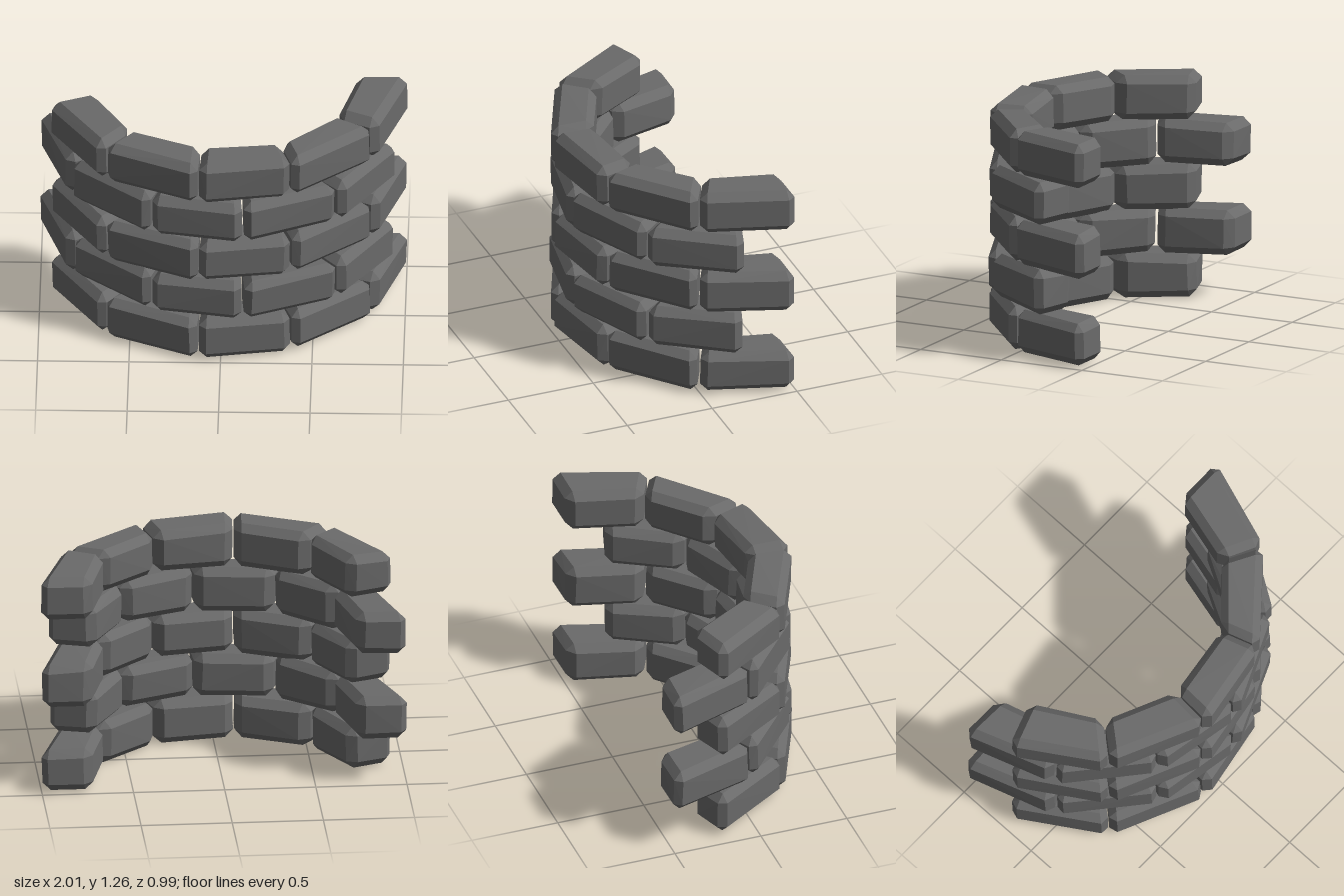
import * as THREE from 'three';
import { ConvexGeometry } from 'three/addons/geometries/ConvexGeometry.js';

// Joints of one course in plan: outer x, z and inner x, z
const JOINTS = [
  [1.015, -0.5, 0.73, -0.5],
  [0.845, 0.02, 0.625, -0.09],
  [0.395, 0.405, 0.32, 0.19],
  [-0.125, 0.5, -0.11, 0.25],
  [-0.655, 0.265, -0.5, 0.08],
  [-0.96, -0.21, -0.705, -0.295],
];
const COURSES = 5, PITCH = 0.2505, HEIGHT = 0.246, BEVEL = 0.044;

// Small seeded generator for the hand-hewn wobble
let seed = 7;
function wobble(amount) {
  seed = (seed * 16807) % 2147483647;
  return (seed / 2147483647 - 0.5) * 2 * amount;
}

// Chamfered block from eight corners, indexed by length, depth and height bits
function chamferedBlock(corners) {
  const points = [];
  for (let i = 0; i < 8; i++) {
    const steps = [1, 2, 4].map((bit) =>
      corners[i ^ bit].clone().sub(corners[i]).setLength(BEVEL));
    for (let k = 0; k < 3; k++) {
      points.push(corners[i].clone().add(steps[(k + 1) % 3]).add(steps[(k + 2) % 3]));
    }
  }
  return new ConvexGeometry(points);
}

// Tapered brick between two neighbouring joints
function brickGeometry(start, end, y, side) {
  const corners = [];
  for (let i = 0; i < 8; i++) {
    const joint = i & 1 ? end : start;
    const other = i & 1 ? start : end;
    const o = i & 2 ? 2 : 0;
    const t = 0.012;
    const x = joint[o] + (other[o] - joint[o]) * t;
    const z = joint[o + 1] + (other[o + 1] - joint[o + 1]) * t;
    corners.push(new THREE.Vector3(
      side * x + wobble(0.006),
      Math.max(0, y + (i & 4 ? HEIGHT : 0) + wobble(0.009)),
      z + wobble(0.006)));
  }
  return chamferedBlock(corners);
}

export function createModel() {
  seed = 7;
  const stone = new THREE.MeshStandardMaterial({ color: 0x6a6a6a });
  stone.name = 'grey stone';
  const wall = new THREE.Group();
  wall.name = 'curvedWall';

  // Alternate courses are mirrored so the joints stagger
  for (let row = 0; row < COURSES; row++) {
    const course = new THREE.Group();
    course.name = `course${row + 1}`;
    const side = row % 2 ? -1 : 1;
    for (let i = 0; i < JOINTS.length - 1; i++) {
      const brick = new THREE.Mesh(
        brickGeometry(JOINTS[i], JOINTS[i + 1], 0.005 + row * PITCH, side), stone);
      brick.name = `brick${i + 1}`;
      course.add(brick);
    }
    wall.add(course);
  }
  return wall;
}
